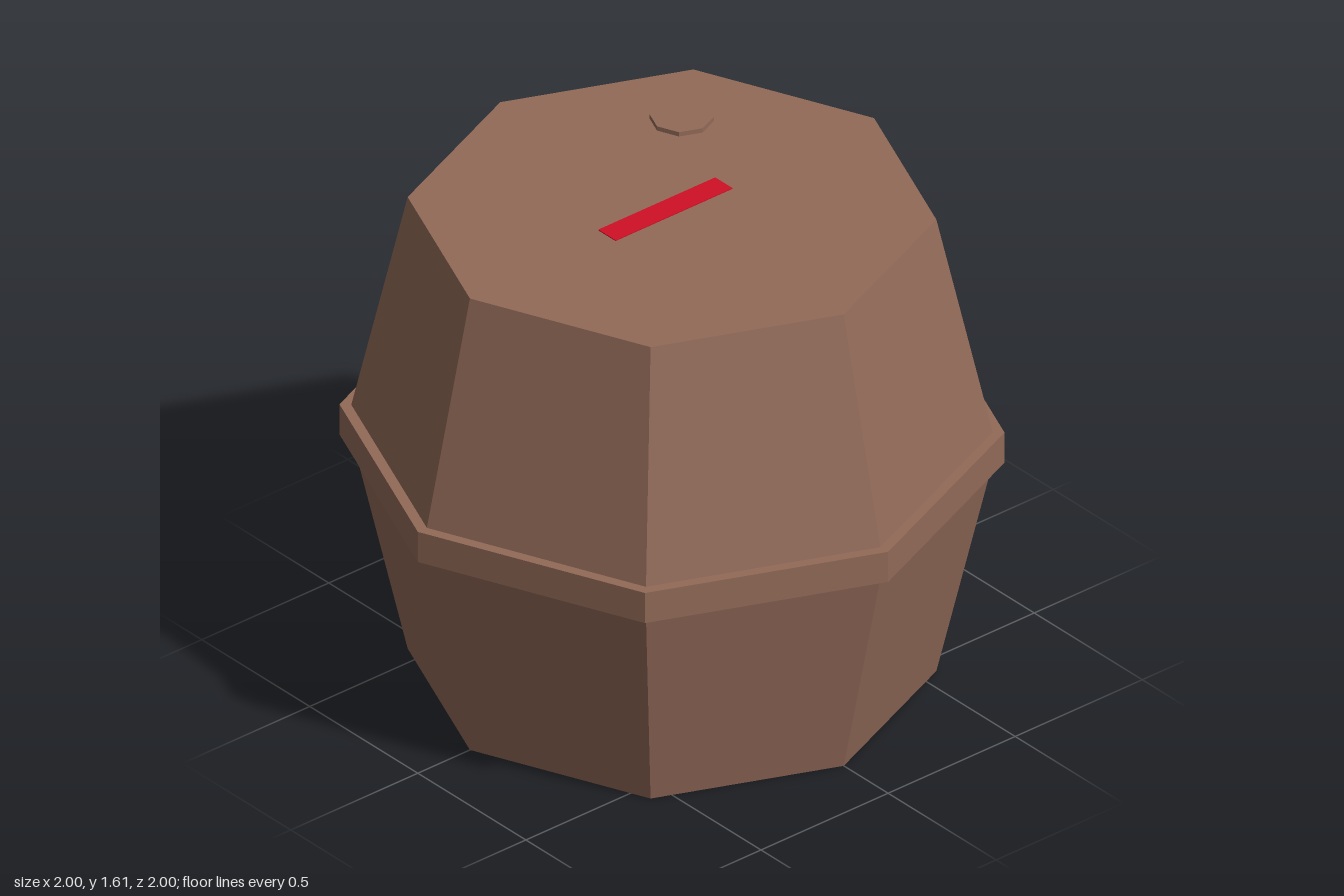
import * as THREE from 'three';

export function createModel() {
  const wood = new THREE.MeshStandardMaterial({ color: 0x926a58, flatShading: true });
  wood.name = 'brown wood';
  const paint = new THREE.MeshStandardMaterial({ color: 0xd00f25 });
  paint.name = 'red paint';

  const barrel = new THREE.Group();
  barrel.name = 'barrel';
  const add = (name, geometry, material, x, y, z) => {
    const mesh = new THREE.Mesh(geometry, material);
    mesh.name = name;
    mesh.position.set(x, y, z);
    barrel.add(mesh);
  };

  // eight-sided body: two tapered halves meeting at the widest point
  const height = 1.59, half = height / 2, endRadius = 0.795, midRadius = 0.977;
  const profile = [[0, 0], [endRadius, 0], [midRadius, half], [endRadius, height], [0, height]]
    .map(([r, y]) => new THREE.Vector2(r, y));
  add('body', new THREE.LatheGeometry(profile, 8), wood, 0, 0, 0);

  // hoop around the middle
  add('hoop', new THREE.CylinderGeometry(1, 1, 0.106, 8), wood, 0, half + 0.002, 0);

  // bung on the lid
  add('bung', new THREE.CylinderGeometry(0.097, 0.097, 0.03, 8), wood, -0.367, 1.59, -0.35);

  // plain painted stripe on the lid
  add('paintedStripe', new THREE.BoxGeometry(0.08, 0.004, 0.46), paint, -0.007, height + 0.001, 0.02);

  return barrel;
}
